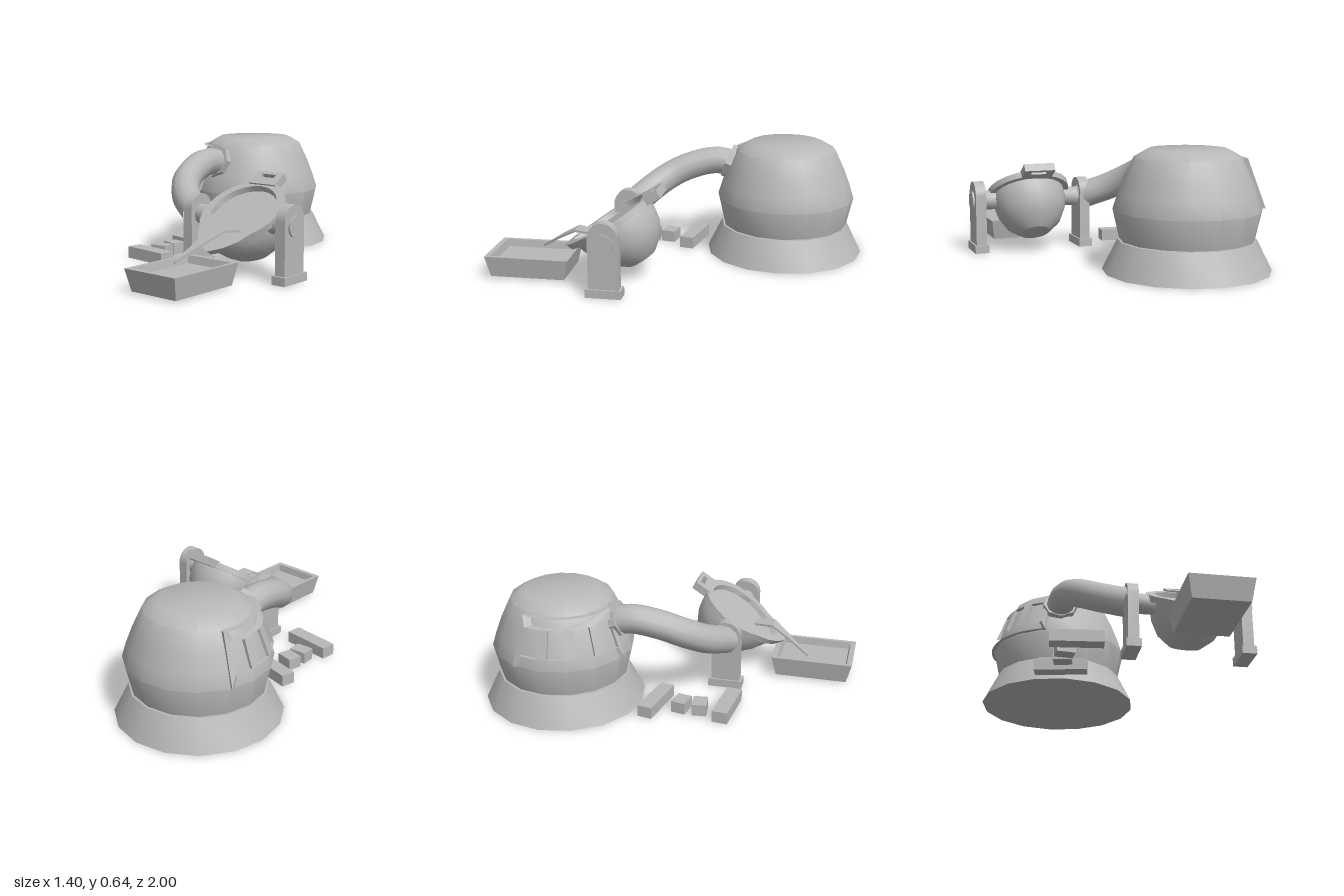
import * as THREE from 'three';
import { toCreasedNormals } from 'three/addons/utils/BufferGeometryUtils.js';

const castGrey = new THREE.MeshStandardMaterial({ color: 0xb8b8b8 });
castGrey.name = 'castGrey';

function add(parent, name, geometry, x = 0, y = 0, z = 0, crease = 0.6) {
  const mesh = new THREE.Mesh(crease ? toCreasedNormals(geometry, crease) : geometry, castGrey);
  mesh.name = name;
  mesh.position.set(x, y, z);
  parent.add(mesh);
  return mesh;
}

const lathe = (pts, sides, start = 0) =>
  new THREE.LatheGeometry(pts.map(([r, y]) => new THREE.Vector2(r, y)), sides, start);

function polygon(points, PathType = THREE.Shape) {
  return new PathType(points.map(([x, y]) => new THREE.Vector2(x, y)));
}

function extrude(shape, depth, curveSegments = 8) {
  return new THREE.ExtrudeGeometry(shape, { depth, bevelEnabled: false, curveSegments });
}

// Furnace: flared base and domed body
function buildFurnace() {
  const g = new THREE.Group();
  g.name = 'furnace';
  g.position.set(-0.255, 0, -0.555);
  add(g, 'furnaceBase', lathe([[0, 0], [0.445, 0], [0.365, 0.162], [0, 0.162]], 16));
  add(g, 'furnaceBody', lathe([[0, 0.165], [0.355, 0.165], [0.39, 0.32], [0.365, 0.4],
    [0.33, 0.49], [0.28, 0.595], [0.21, 0.636], [0, 0.636]], 16));

  // Curved vent panel: a flat plate with four slots, wrapped round the body
  const a0 = -1.95, a1 = -0.3, n = 12, outline = [];
  for (let i = 0; i <= n; i++) outline.push([a0 + (a1 - a0) * i / n, 0.325]);
  for (let i = n; i >= 0; i--) outline.push([a0 + (a1 - a0) * i / n, 0.585]);
  const panel = polygon(outline);
  for (let i = 0; i < 4; i++) {
    const c = a0 + (a1 - a0) * (i + 0.5) / 4;
    panel.holes.push(polygon([[c - 0.13, 0.385], [c - 0.13, 0.53], [c + 0.13, 0.53], [c + 0.13, 0.385]], THREE.Path));
  }
  const geo = extrude(panel, 0.035);
  const p = geo.attributes.position;
  for (let i = 0; i < p.count; i++) {
    const a = p.getX(i), y = p.getY(i);
    const r = 0.372 - (y - 0.325) * 0.37 + p.getZ(i);
    p.setXYZ(i, r * Math.sin(a), y, r * Math.cos(a));
  }
  add(g, 'ventPanel', geo);
  return g;
}

// Bent pipe with an octagonal collar at the furnace
function buildPipe() {
  const g = new THREE.Group();
  g.name = 'pipe';
  const curve = new THREE.CatmullRomCurve3([
    [-0.285, 0.485, -0.27], [-0.283, 0.507, -0.15], [-0.255, 0.475, 0],
    [-0.21, 0.42, 0.12], [-0.11, 0.35, 0.225], [0.035, 0.29, 0.305]
  ].map(a => new THREE.Vector3(...a)));
  add(g, 'pipeTube', new THREE.TubeGeometry(curve, 20, 0.08, 12), 0, 0, 0, 0);
  const collar = add(g, 'pipeCollar', new THREE.CylinderGeometry(0.1, 0.1, 0.05, 8), -0.285, 0.5, -0.235, 0.4);
  collar.quaternion.setFromUnitVectors(new THREE.Vector3(0, 1, 0),
    new THREE.Vector3(-0.05, 0.36, 0.92).normalize());
  return g;
}

// Round-topped stand with a foot
function buildStand(name, x) {
  const g = new THREE.Group();
  g.name = name;
  g.position.set(x, 0, 0.305);
  const s = new THREE.Shape();
  s.moveTo(-0.08, 0);
  s.lineTo(0.08, 0);
  s.lineTo(0.08, 0.32);
  s.absarc(0, 0.32, 0.08, 0, Math.PI, false);
  s.closePath();
  const geo = extrude(s, 0.06);
  geo.translate(0, 0, -0.03);
  geo.rotateY(Math.PI / 2);
  add(g, 'standPost', geo);
  add(g, 'standFoot', new THREE.BoxGeometry(0.08, 0.045, 0.19), 0, 0.0225, 0);
  return g;
}

function addAxle(parent, name, x0, x1, r) {
  const geo = new THREE.CylinderGeometry(r, r, x1 - x0, 12);
  geo.rotateZ(Math.PI / 2);
  add(parent, name, geo, (x0 + x1) / 2, 0.29, 0.305);
}

// Tilted ladle with a pouring spout and a slotted lug
function buildLadle() {
  const g = new THREE.Group();
  g.name = 'ladle';
  g.position.set(0.36, 0.345, 0.32);
  g.rotation.x = 0.577;

  // The front of each ring is pulled forward to make the spout
  const pullSpout = (geo) => {
    const p = geo.attributes.position;
    for (let i = 0; i < p.count; i++) {
      const x = p.getX(i), y = p.getY(i), z = p.getZ(i);
      const a = Math.abs(Math.atan2(x, z));
      const k = Math.max(0, 1 - a / 0.8) * Math.max(0, 1 + y / 0.2);
      p.setXYZ(i, x * (1 + 0.4 * k), y, z * (1 + 0.4 * k));
    }
    return geo;
  };
  add(g, 'ladleBowl', pullSpout(lathe([[0, -0.285], [0.085, -0.28], [0.155, -0.225], [0.195, -0.15],
    [0.208, -0.08], [0.205, -0.035], [0.235, -0.035], [0.235, 0], [0.19, 0], [0.18, -0.045]], 24)));
  add(g, 'moltenMetal', pullSpout(lathe([[0.186, -0.03], [0, -0.03]], 24)));

  const lug = polygon([[-0.087, 0.2], [0.087, 0.2], [0.087, 0.3], [-0.087, 0.3]]);
  lug.holes.push(polygon([[-0.045, 0.255], [-0.045, 0.28], [0.045, 0.28], [0.045, 0.255]], THREE.Path));
  const geo = extrude(lug, 0.045);
  geo.rotateX(-Math.PI / 2);
  add(g, 'ladleLug', geo, 0, -0.037, 0);
  return g;
}

// Pouring stream lofted through tapering rectangular sections
function buildStream() {
  const sections = [[0.385, 0.25, 0.41, 0.07], [0.368, 0.262, 0.52, 0.095],
    [0.33, 0.205, 0.615, 0.055], [0.275, 0.122, 0.74, 0.008]];
  const pos = [], idx = [], t = 0.006;
  for (const [x, y, z, w] of sections) {
    for (const [sx, sy] of [[-1, -1], [1, -1], [1, 1], [-1, 1]]) pos.push(x + sx * w / 2, y + sy * t, z);
  }
  for (let s = 0; s < sections.length - 1; s++) {
    for (let k = 0; k < 4; k++) {
      const a = s * 4 + k, b = s * 4 + (k + 1) % 4;
      idx.push(a, b, b + 4, a, b + 4, a + 4);
    }
  }
  const e = pos.length / 3 - 4;
  idx.push(0, 2, 1, 0, 3, 2, e, e + 1, e + 2, e, e + 2, e + 3);
  const geo = new THREE.BufferGeometry();
  geo.setAttribute('position', new THREE.Float32BufferAttribute(pos, 3));
  geo.setIndex(idx);
  return geo;
}

export function createModel() {
  const model = new THREE.Group();
  model.name = 'foundry';
  model.add(buildFurnace(), buildPipe(), buildLadle());
  model.add(buildStand('rightStand', 0.04), buildStand('leftStand', 0.657));
  addAxle(model, 'rightTrunnion', 0.05, 0.18, 0.055);
  addAxle(model, 'leftTrunnion', 0.54, 0.65, 0.055);
  addAxle(model, 'axleCap', 0.68, 0.698, 0.055);
  add(model, 'pouringStream', buildStream());

  // Casting tray with sloped sides and a sunken fill
  const q = Math.SQRT2;
  const tray = lathe([[0, 0.01], [0.88 * q, 0.01], [q, 0.125], [0.87 * q, 0.125],
    [0.83 * q, 0.085], [0, 0.085]], 4, Math.PI / 4);
  tray.scale(0.165, 1, 0.23);
  add(model, 'castingTray', tray, 0.355, 0, 0.77, 0.3);

  // Loose ingots on the floor: x, z, length, width, turn
  const ingots = [[-0.255, 0.37, 0.285, 0.085, -0.1], [-0.3, 0.228, 0.1, 0.08, 0.1],
    [-0.3, 0.125, 0.1, 0.08, -0.2], [-0.295, -0.02, 0.29, 0.08, -0.2]];
  for (const [x, z, l, w, turn] of ingots) {
    add(model, 'ingot', new THREE.BoxGeometry(l, 0.065, w), x, 0.0325, z).rotation.y = turn;
  }
  return model;
}
